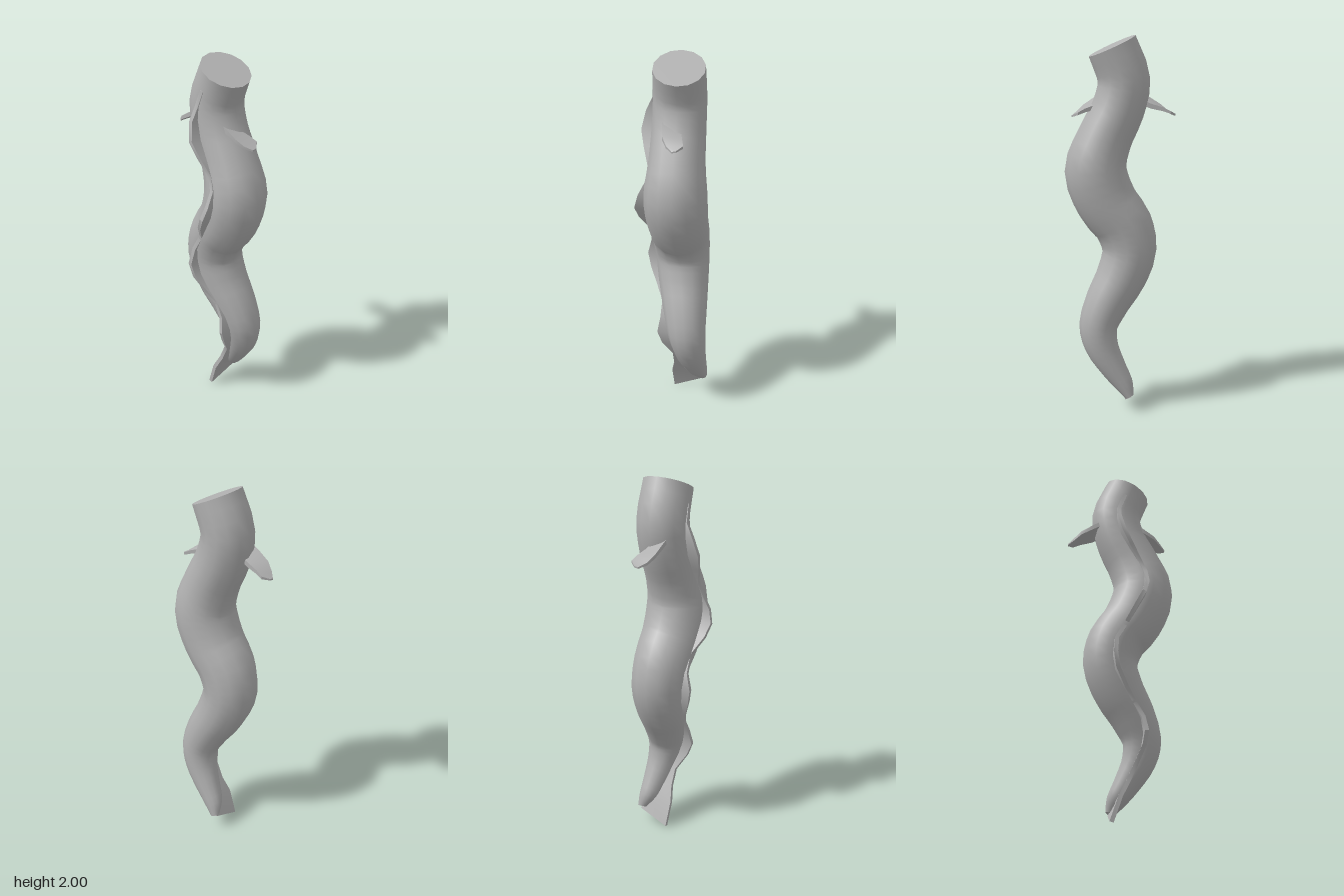
import * as THREE from 'three';
import { toCreasedNormals } from 'three/addons/utils/BufferGeometryUtils.js';

// Closed skin over a list of rings; each ring runs counterclockwise about the loft direction
function loft(rings, crease) {
  const n = rings[0].length, pos = [], idx = [];
  rings.forEach(r => r.forEach(p => pos.push(p.x, p.y, p.z)));
  for (let i = 0; i < rings.length - 1; i++) {
    for (let j = 0; j < n; j++) {
      const k = (j + 1) % n, a = i * n + j, c = i * n + k;
      idx.push(a, c, a + n, a + n, c, c + n);
    }
  }
  const last = (rings.length - 1) * n;
  for (let j = 1; j < n - 1; j++) {
    idx.push(0, j + 1, j, last, last + j, last + j + 1);
  }
  const g = new THREE.BufferGeometry();
  g.setAttribute('position', new THREE.Float32BufferAttribute(pos, 3));
  g.setIndex(idx);
  return toCreasedNormals(g, crease);
}

const V = (x, y, z) => new THREE.Vector3(x, y, z);
const sideways = t => V(-t.y, t.x, 0).normalize();

// Winding round body: x, y, z of the centre line and radius, from neck to tail
function bodyGeometry() {
  const spine = [
    [0.04, 1.945, -0.03, 0.133], [-0.022, 1.77, -0.028, 0.138], [0.008, 1.62, -0.027, 0.14],
    [0.083, 1.46, -0.026, 0.147], [0.127, 1.3, -0.024, 0.165], [0.07, 1.13, -0.027, 0.162],
    [-0.02, 1.0, -0.035, 0.155], [-0.05, 0.87, -0.043, 0.147], [-0.005, 0.73, -0.053, 0.137],
    [0.07, 0.6, -0.069, 0.122], [0.123, 0.47, -0.085, 0.105], [0.11, 0.36, -0.1, 0.09],
    [0.05, 0.24, -0.12, 0.07], [-0.005, 0.15, -0.138, 0.052], [-0.033, 0.088, -0.162, 0.026]
  ];
  const path = new THREE.CatmullRomCurve3(spine.map(s => V(s[0], s[1], s[2])));
  const radius = new THREE.CatmullRomCurve3(spine.map((s, i) => V(s[3], i, 0)));
  const rings = [], steps = 42, sides = 14;
  for (let i = 0; i <= steps; i++) {
    const t = i / steps, c = path.getPoint(t), r = radius.getPoint(t).x;
    const n = i === 0 ? V(0.91, -0.415, 0) : sideways(path.getTangent(t));
    const ring = [];
    for (let j = 0; j < sides; j++) {
      const a = j / sides * Math.PI * 2;
      ring.push(c.clone().addScaledVector(n, r * Math.cos(a)).add(V(0, 0, r * Math.sin(a))));
    }
    rings.push(ring);
  }
  return loft(rings, 0.9);
}

// Scalloped ridge ending in a tail fin: x, y, crest z, root z
function ridgeGeometry() {
  const pts = [
    [0.012, 1.86, 0.106, 0.02], [-0.02, 1.77, 0.112, 0.02], [-0.025, 1.7, 0.145, 0.02],
    [-0.002, 1.6, 0.168, 0.02], [0.04, 1.52, 0.15, 0.02], [0.09, 1.43, 0.122, 0.02],
    [0.118, 1.36, 0.135, 0.02], [0.122, 1.28, 0.175, 0.02], [0.103, 1.21, 0.194, 0.02],
    [0.065, 1.14, 0.175, 0.02], [0.015, 1.05, 0.12, 0], [-0.035, 0.96, 0.125, 0],
    [-0.044, 0.87, 0.147, 0], [-0.03, 0.79, 0.13, -0.02], [0.02, 0.7, 0.088, -0.03],
    [0.065, 0.63, 0.055, -0.05], [0.11, 0.55, 0.06, -0.06], [0.126, 0.47, 0.075, -0.07],
    [0.117, 0.4, 0.05, -0.09], [0.08, 0.31, -0.005, -0.1], [0.04, 0.22, -0.008, -0.11],
    [0, 0.14, 0.008, -0.13], [-0.045, 0.006, 0, -0.165]
  ];
  const path = new THREE.CatmullRomCurve3(pts.map(p => V(p[0], p[1], 0)));
  const rings = pts.map(([x, y, crest, root], i) => {
    const n = sideways(path.getTangent(i / (pts.length - 1))).multiplyScalar(0.011);
    const tip = i === pts.length - 1;
    const top = V(x, y, crest), base = V(tip ? -0.035 : x, tip ? 0.075 : y, root);
    return [base.clone().add(n), top.clone().add(n), top.clone().sub(n), base.clone().sub(n)];
  });
  return loft(rings, 0.5);
}

// Drooping side fin: distance out, front y and z, back y and z, half thickness
function sideFinGeometry(side) {
  const stations = [
    [0.08, 1.7, 0.05, 1.66, -0.04, 0.014], [0.14, 1.668, 0.045, 1.635, -0.05, 0.013],
    [0.205, 1.63, 0.036, 1.618, -0.064, 0.01], [0.243, 1.6, 0.012, 1.602, -0.074, 0.007],
    [0.273, 1.584, -0.02, 1.588, -0.042, 0.004]
  ];
  const rings = stations.map(([d, fy, fz, by, bz, h]) => {
    const x = -0.02 + side * d;
    const ring = [V(x, by + h, bz), V(x, fy + h, fz), V(x, fy - h, fz), V(x, by - h, bz)];
    return side > 0 ? ring : ring.reverse();
  });
  return loft(rings, 0.6);
}

export function createModel() {
  const group = new THREE.Group();
  group.name = 'windingBody';
  const grey = new THREE.MeshStandardMaterial({ color: 0xb0b0b0 });
  grey.name = 'plain grey';
  const add = (name, geometry) => {
    const mesh = new THREE.Mesh(geometry, grey);
    mesh.name = name;
    group.add(mesh);
  };
  add('body', bodyGeometry());
  add('ridgeAndTailFin', ridgeGeometry());
  add('leftFin', sideFinGeometry(1));
  add('rightFin', sideFinGeometry(-1));
  return group;
}
